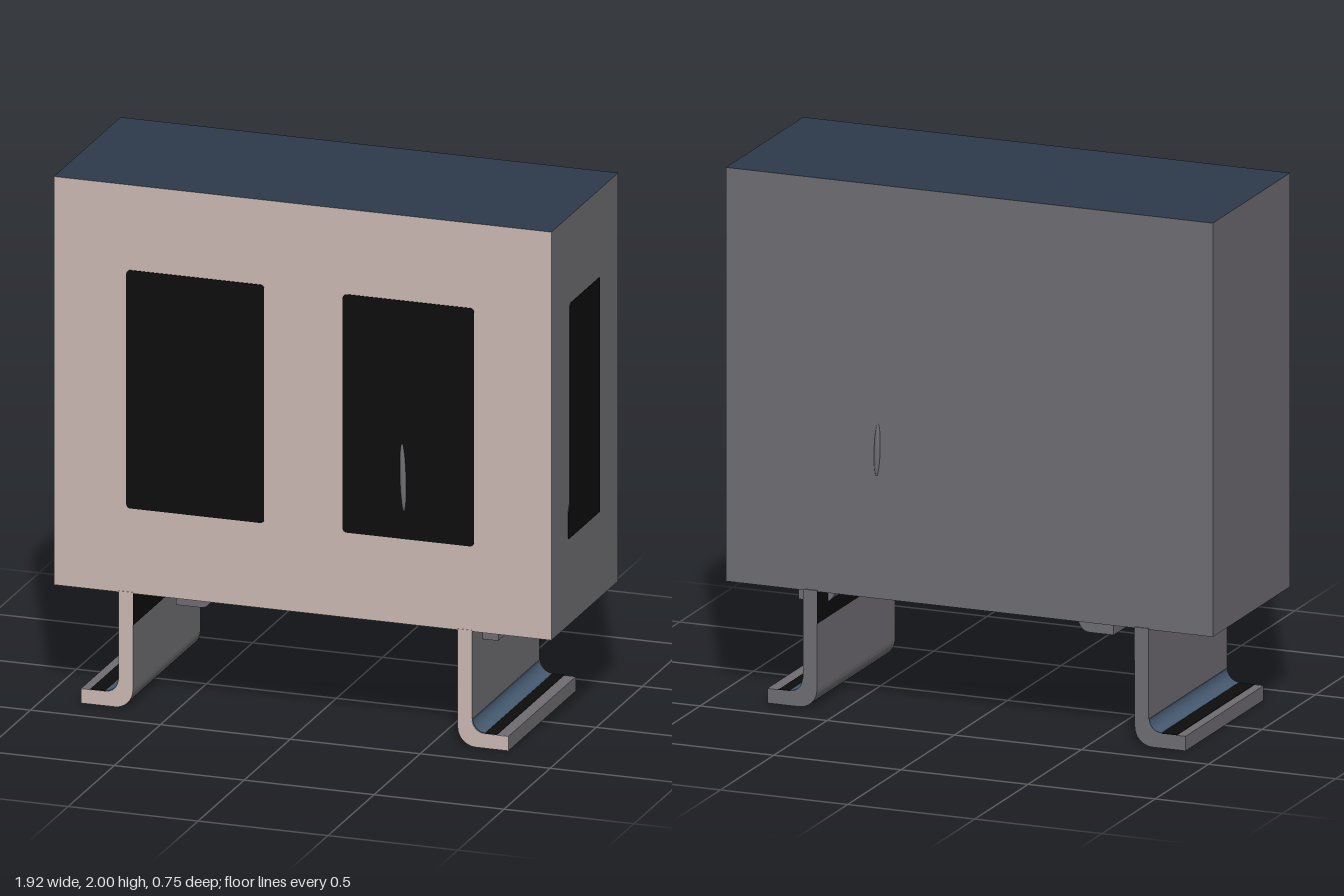
import * as THREE from 'three';

const mat = (name, color) => Object.assign(new THREE.MeshStandardMaterial({ color }), { name });

export function createModel() {
  const model = new THREE.Group();
  const sand = mat('sand front', 0xcbb9b2);
  const grey = mat('warm grey', 0x6f6d72);
  const navy = mat('navy top', 0x2d3a4a);
  const black = mat('black', 0x0d0d0d);
  const steel = mat('steel blue', 0x465a70);

  const add = (name, geometry, material, x = 0, y = 0, z = 0, parent = model) => {
    const mesh = new THREE.Mesh(geometry, material);
    mesh.name = name;
    mesh.position.set(x, y, z);
    parent.add(mesh);
    return mesh;
  };
  const extrude = (shape, depth) =>
    new THREE.ExtrudeGeometry(shape, { depth, bevelEnabled: false, curveSegments: 8 });

  // Rounded pane outline
  const pane = (w, h, r = 0.015) => {
    const s = new THREE.Shape();
    s.absarc(w / 2 - r, h / 2 - r, r, 0, Math.PI / 2);
    s.absarc(-w / 2 + r, h / 2 - r, r, Math.PI / 2, Math.PI);
    s.absarc(-w / 2 + r, -h / 2 + r, r, Math.PI, Math.PI * 1.5);
    s.absarc(w / 2 - r, -h / 2 + r, r, Math.PI * 1.5, Math.PI * 2);
    return s;
  };

  // Cabinet body, one colour per face
  add('body', new THREE.BoxGeometry(1.915, 1.56, 0.725),
    [grey, grey, navy, black, sand, grey], -0.0025, 1.22, -0.0025);

  // Front windows
  add('frontWindowRight', extrude(pane(0.53, 0.91), 0.003), black, -0.415, 1.22, 0.36);
  add('frontWindowLeft', extrude(pane(0.505, 0.91), 0.003), black, 0.405, 1.22, 0.36);

  // Side window with a small step at the lower front corner
  const side = new THREE.Shape([
    [-0.18, 0.775], [-0.175, 0.77], [0.16, 0.77], [0.16, 1.665], [-0.155, 1.665],
    [-0.165, 1.655], [-0.165, 0.905], [-0.18, 0.875],
  ].map(([x, y]) => new THREE.Vector2(x, y)));
  add('sideWindow', extrude(side, 0.003), black, 0.955).rotation.y = Math.PI / 2;

  // Slim handles
  const handle = new THREE.SphereGeometry(1, 16, 20);
  for (const [name, x, y, z, h] of [
    ['frontHandle', 0.385, 1.0, 0.361, 0.13],
    ['backHandle', 0.36, 1.0, -0.364, 0.1],
  ]) {
    const m = add(name, handle, grey, x, y, z);
    m.scale.set(0.012, h, 0.01);
    m.rotation.z = 0.03;
  }

  // Bent sheet legs; u is the distance outward from the inner face
  const zBack = -0.37, zFront = 0.36, depth = zFront - zBack;
  const legs = [
    { name: 'leftLeg', x: 0.595, s: 1, foot: 0.195, dark: 0.045 },
    { name: 'rightLeg', x: -0.655, s: -1, foot: 0.2, dark: 0.06 },
  ];
  for (const { name, x, s, foot, dark } of legs) {
    const leg = new THREE.Group();
    leg.name = name;
    model.add(leg);
    const V = (u, y) => new THREE.Vector2(x + s * u, y);
    const arc = (cu, cy, r, a0, a1) => Array.from({ length: 9 }, (_, i) => {
      const a = a0 + (a1 - a0) * i / 8;
      return V(cu + r * Math.cos(a), cy + r * Math.sin(a));
    });
    const bend = arc(0.105, 0.105, 0.05, Math.PI * 1.5, Math.PI);
    const profile = new THREE.Shape([
      V(0, 0.445), ...arc(0.07, 0.07, 0.07, Math.PI, Math.PI * 1.5),
      V(foot, 0), V(foot, 0.055), ...bend, V(0.055, 0.445),
    ]);
    add(name + 'Sheet', extrude(profile, depth), grey, 0, 0, zBack, leg);
    add(name + 'FrontEdge', extrude(profile, 0.002), sand, 0, 0, zFront, leg);

    // Blue lining in the bend
    const lining = new THREE.Shape([
      ...bend, ...arc(0.105, 0.105, 0.047, Math.PI, Math.PI * 1.5),
    ]);
    add(name + 'BendLining', extrude(lining, depth), steel, 0, 0, zBack, leg);

    // Dark strips on the foot and at the top of the inner face
    const zMid = (zBack + zFront) / 2;
    add(name + 'FootStrip', new THREE.BoxGeometry(dark, 0.002, depth), black,
      x + s * (0.105 + dark / 2), 0.056, zMid, leg);
    add(name + 'InnerStrip', new THREE.BoxGeometry(0.002, 0.12, depth), black,
      x - s * 0.001, 0.38, zMid, leg);
  }

  // Curved hooks beneath the body
  for (const [name, x, s, len] of [['leftHook', 0.55, 1, 0.16], ['rightHook', -0.375, -1, 0.155]]) {
    const hook = new THREE.Shape();
    hook.moveTo(x, 0.445);
    hook.bezierCurveTo(x + s * 0.02, 0.4, x + s * 0.03, 0.375, x + s * 0.06, 0.375);
    hook.lineTo(x + s * len, 0.375);
    hook.lineTo(x + s * len, 0.43);
    hook.lineTo(x + s * 0.08, 0.43);
    hook.lineTo(x + s * 0.07, 0.445);
    add(name, extrude(hook, 0.515), grey, 0, 0, -0.27);
  }

  return model;
}
